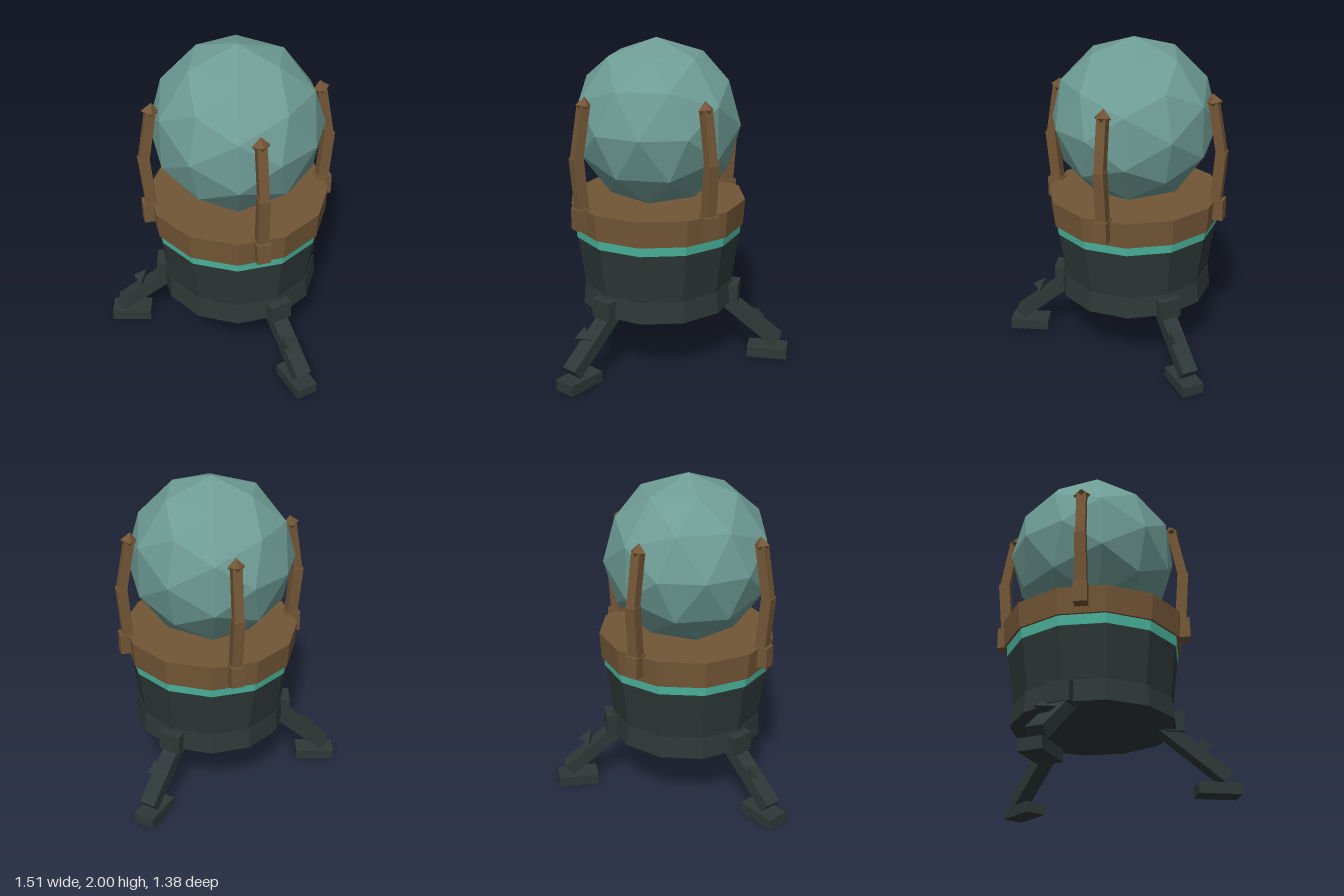
import * as THREE from 'three';

const material = (name, color) => {
  const m = new THREE.MeshStandardMaterial({ color, flatShading: true });
  m.name = name;
  return m;
};

export function createModel() {
  const dark = material('darkMetal', 0x2e3737);
  const bronze = material('bronze', 0x735636);
  const teal = material('tealGlow', 0x4bb59d);
  const glass = material('paleGlass', 0x6f9d96);

  const root = new THREE.Group();
  root.name = 'orbStand';
  const model = new THREE.Group();
  model.name = 'orbAssembly';
  model.position.z = 0.145;
  root.add(model);

  const add = (parent, name, geometry, mat, x = 0, y = 0, z = 0) => {
    const mesh = new THREE.Mesh(geometry, mat);
    mesh.name = name;
    mesh.position.set(x, y, z);
    parent.add(mesh);
    return mesh;
  };

  // Twelve-sided drum, stacked from tapered bands
  const band = (name, rTop, rBottom, y0, y1, mat) =>
    add(model, name, new THREE.CylinderGeometry(rTop, rBottom, y1 - y0, 12), mat, 0, (y0 + y1) / 2, 0);
  band('baseRing', 0.475, 0.488, 0.37, 0.5, dark);
  band('drumBody', 0.512, 0.47, 0.5, 0.81, dark);
  band('glowBand', 0.521, 0.516, 0.81, 0.87, teal);
  band('rim', 0.545, 0.535, 0.87, 1.03, bronze);

  // Faceted orb
  add(model, 'orb', new THREE.IcosahedronGeometry(0.51, 1), glass, 0, 1.49, 0);

  // Beam between two (y, z) points in a group whose outward direction is +z
  const beam = (parent, name, width, depth, y0, z0, y1, z1, mat) => {
    const length = Math.hypot(y1 - y0, z1 - z0);
    const mesh = add(parent, name, new THREE.BoxGeometry(width, length, depth), mat,
      0, (y0 + y1) / 2, (z0 + z1) / 2);
    mesh.rotation.x = Math.atan2(z1 - z0, y1 - y0);
    return mesh;
  };

  // Three legs: one at the back, two at the front
  for (let i = 0; i < 3; i++) {
    const leg = new THREE.Group();
    leg.name = 'leg';
    leg.rotation.y = Math.PI / 3 + (i * 2 * Math.PI) / 3;
    model.add(leg);
    add(leg, 'hipBlock', new THREE.BoxGeometry(0.14, 0.122, 0.12), dark, 0, 0.423, 0.46);
    beam(leg, 'strut', 0.1, 0.08, 0.106, 0.769, 0.43, 0.361, dark);
    add(leg, 'footPad', new THREE.BoxGeometry(0.135, 0.067, 0.25), dark, 0, 0.0335, 0.71);
    // Three-sided spike lying across the strut
    const spike = new THREE.ConeGeometry(0.055, 0.1, 3);
    spike.rotateY(Math.PI / 2);
    spike.rotateZ(-Math.PI / 2);
    // Bring one base corner round to point inward
    spike.rotateX(-Math.PI / 2);
    add(leg, 'spike', spike, dark, 0, 0.2875, 0.6375);
  }

  // Four claws holding the orb
  for (let i = 0; i < 4; i++) {
    const claw = new THREE.Group();
    claw.name = 'claw';
    claw.rotation.y = Math.PI / 4 + (i * Math.PI) / 2;
    model.add(claw);
    add(claw, 'clawBlock', new THREE.BoxGeometry(0.08, 0.13, 0.095), bronze, 0, 0.975, 0.537);
    beam(claw, 'lowerArm', 0.065, 0.065, 1.0, 0.53, 1.35, 0.559, bronze);
    const upper = beam(claw, 'upperArm', 0.057, 0.057, 1.33, 0.558, 1.65, 0.5, bronze);
    const tip = add(claw, 'clawTip', new THREE.OctahedronGeometry(0.052), bronze, 0, 1.65, 0.5);
    tip.rotation.x = upper.rotation.x;
  }
  return root;
}
